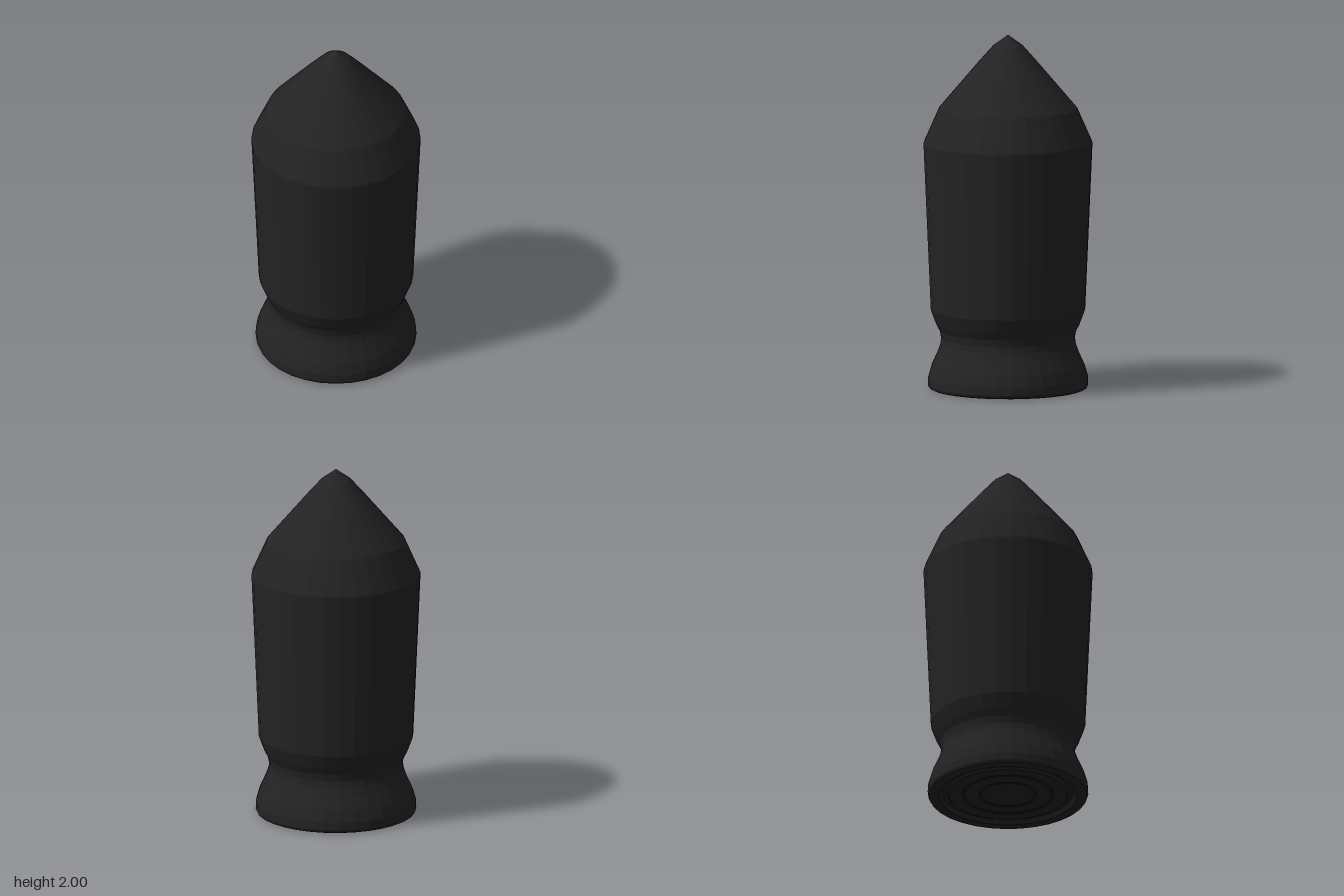
import * as THREE from 'three';

const SIDES = 32;

export function createModel() {
  const model = new THREE.Group();
  const charcoal = new THREE.MeshStandardMaterial({ color: 0x232323, flatShading: true });
  charcoal.name = 'charcoal';

  // Turns a list of [radius, height], running from the bottom up, around the y axis.
  const turn = (name, profile) => {
    const points = profile.map(([r, y]) => new THREE.Vector2(r, y));
    const mesh = new THREE.Mesh(new THREE.LatheGeometry(points, SIDES), charcoal);
    mesh.name = name;
    model.add(mesh);
  };

  // Underside with shallow concentric grooves
  turn('underside', [
    [0, 0.012], [0.15, 0.012], [0.157, 0.018], [0.164, 0.012],
    [0.243, 0.012], [0.25, 0.02], [0.258, 0.012], [0.33, 0.012],
    [0.345, 0.03], [0.37, 0.03], [0.385, 0.004], [0.43, 0],
  ]);

  // Flared foot with a rounded lower edge
  turn('foot', [
    [0.43, 0], [0.443, 0.006], [0.45, 0.022], [0.449, 0.065],
    [0.43, 0.13], [0.396, 0.205], [0.38, 0.25],
  ]);

  // Narrow waist
  turn('waist', [[0.38, 0.25], [0.375, 0.285], [0.382, 0.325], [0.403, 0.365], [0.433, 0.445]]);

  // Slightly widening body
  turn('body', [[0.433, 0.445], [0.474, 1.385], [0.472, 1.395]]);

  // Pointed cap
  turn('cap', [[0.472, 1.395], [0.388, 1.585], [0.167, 1.845], [0.083, 1.94], [0, 2]]);

  return model;
}
